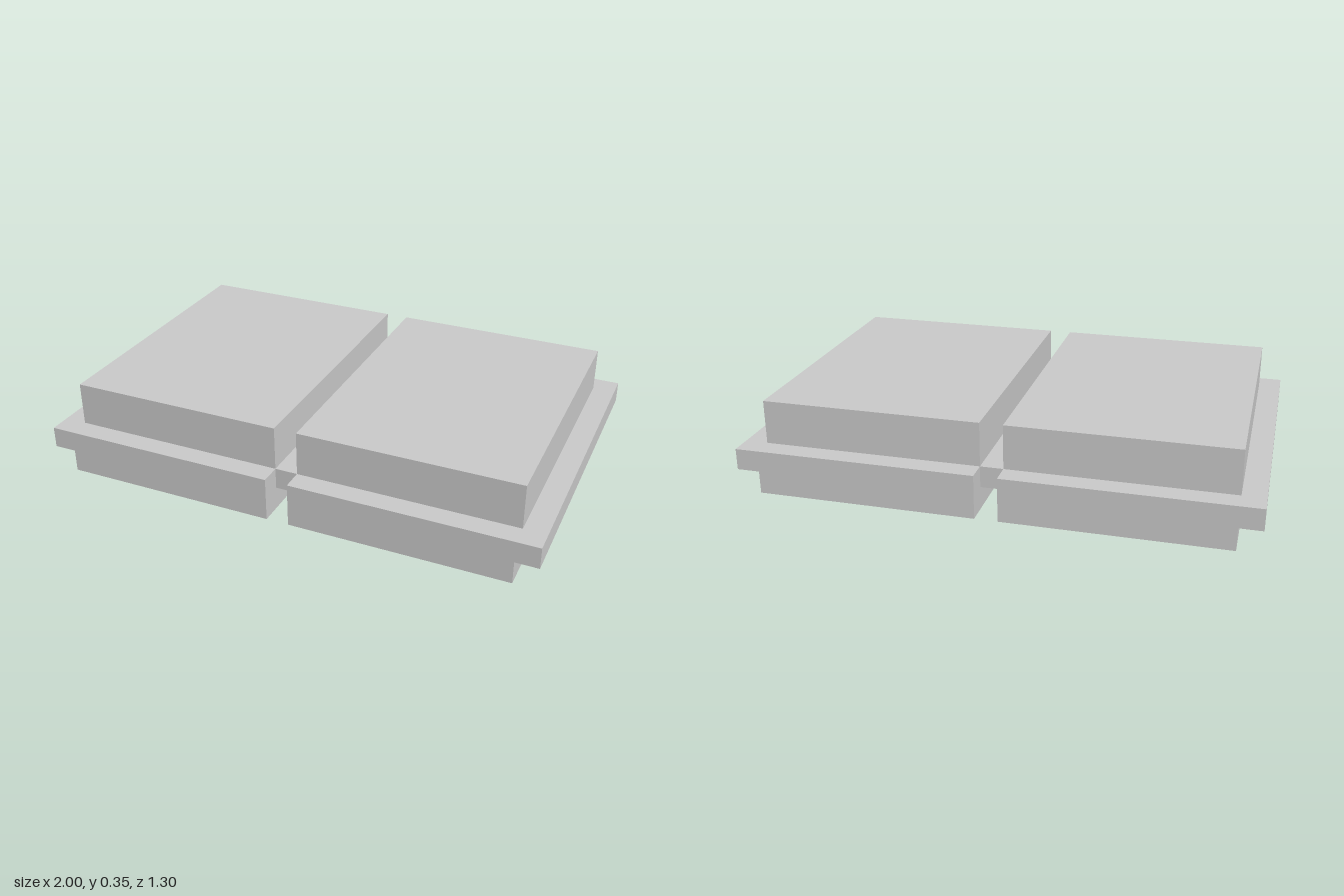
import * as THREE from 'three';

const material = new THREE.MeshStandardMaterial({ color: 0xcccccc, flatShading: true });

// Box given by its lower and upper corners
function block(name, [x0, y0, z0], [x1, y1, z1]) {
  const mesh = new THREE.Mesh(new THREE.BoxGeometry(x1 - x0, y1 - y0, z1 - z0), material);
  mesh.position.set((x0 + x1) / 2, (y0 + y1) / 2, (z0 + z1) / 2);
  mesh.name = name;
  return mesh;
}

export function createModel() {
  const group = new THREE.Group();
  group.name = 'twinTile';

  const gap = 0.045, inner = 0.91, outer = 1; // x extents of each half
  const lip = 0.09, deck = 0.175, top = 0.35; // heights
  const baseZ = 0.65, topZ = 0.565; // half depths

  for (const side of [1, -1]) {
    const half = new THREE.Group();
    half.name = side > 0 ? 'leftHalf' : 'rightHalf';

    // Base with an overhanging lip along its outer side
    const profile = [[gap, 0], [inner, 0], [inner, lip], [outer, lip], [outer, deck], [gap, deck]];
    const shape = new THREE.Shape(profile.map(([x, y]) => new THREE.Vector2(side * x, y)));
    const geometry = new THREE.ExtrudeGeometry(shape, { depth: 2 * baseZ, bevelEnabled: false });
    geometry.translate(0, 0, -baseZ);
    const base = new THREE.Mesh(geometry, material);
    base.name = 'base';
    half.add(base);

    // Raised slab, set back from the base edges
    const xs = [side * gap, side * inner].sort((a, b) => a - b);
    half.add(block('raisedSlab', [xs[0], deck, -topZ], [xs[1], top, topZ]));
    group.add(half);
  }

  // Thin web joining the two halves
  group.add(block('bridge', [-gap, lip, -topZ], [gap, deck, topZ]));
  return group;
}
